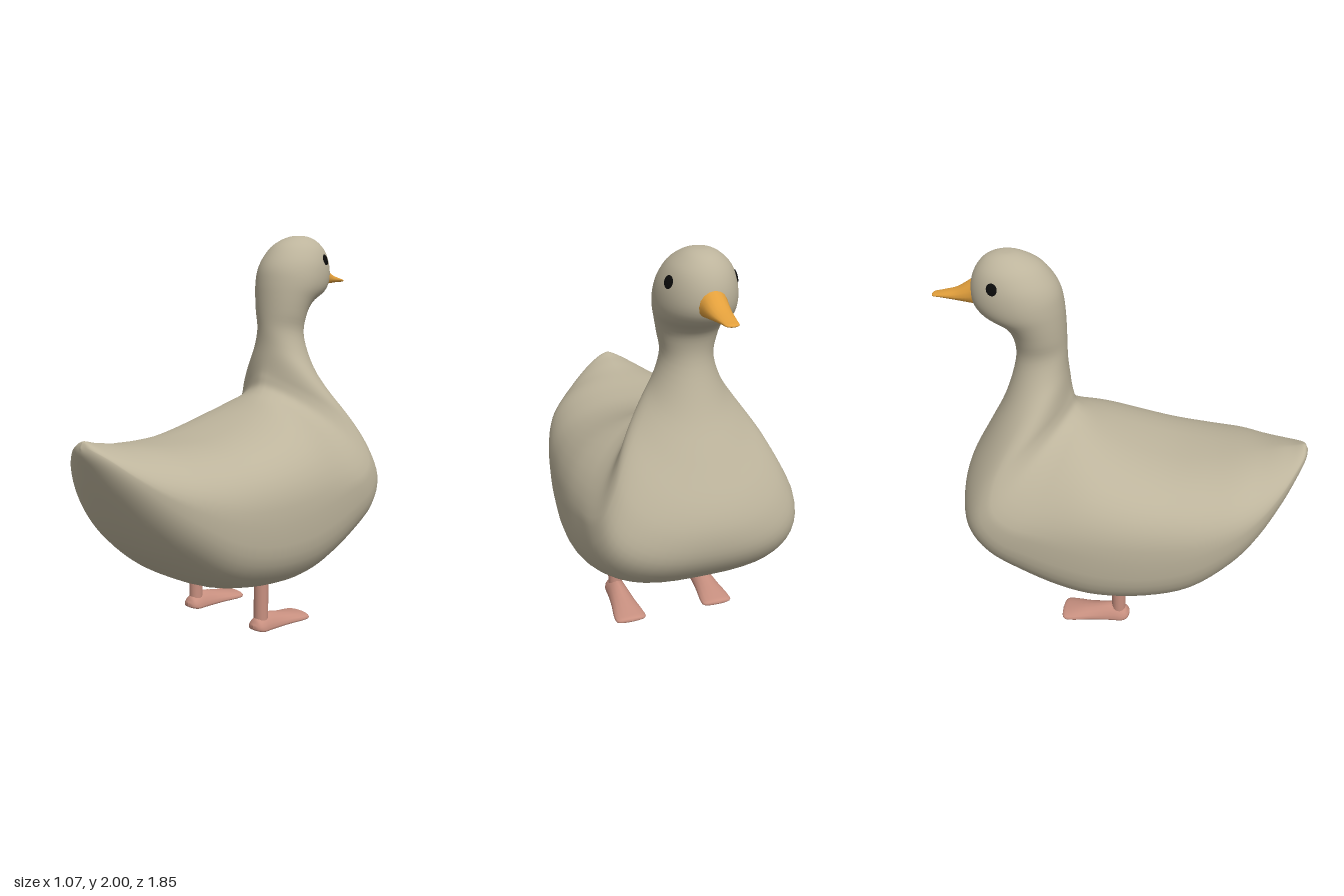
import * as THREE from 'three';

const material = (name, color) => {
  const m = new THREE.MeshStandardMaterial({ color });
  m.name = name;
  return m;
};

// Loft through sections lying in the side plane.
// Row: [topZ, topY, bottomZ, bottomY, halfWidth, widestAt, topPower, bottomPower]
function loft(rows, steps, sides) {
  const curve = (pick) => new THREE.CatmullRomCurve3(
    rows.map((r) => new THREE.Vector3(...pick(r))), false, 'catmullrom', 0.5);
  const tops = curve((r) => [0, r[1], r[0]]);
  const bottoms = curve((r) => [0, r[3], r[2]]);
  const widths = curve((r) => [r[4], r[5], 0]);
  const powers = curve((r) => [r[6], r[7], 0]);
  const pos = [], index = [];
  for (let i = 0; i <= steps; i++) {
    const t = i / steps;
    const top = tops.getPoint(t), bottom = bottoms.getPoint(t);
    const { x: w, y: widest } = widths.getPoint(t);
    const { x: nt, y: nb } = powers.getPoint(t);
    for (let j = 0; j < sides; j++) {
      const a = (j / sides) * Math.PI * 2;
      const s = Math.sin(a), c = Math.cos(a);
      const e = 2 / (c > 0 ? nt : nb);
      const x = Math.max(w, 0) * Math.sign(s) * Math.abs(s) ** e;
      const v = Math.abs(c) ** e;
      const f = c > 0 ? widest * (1 - v) : widest + (1 - widest) * v;
      const p = top.clone().lerp(bottom, f);
      pos.push(x, p.y, p.z);
      if (i < steps) {
        const k = (j + 1) % sides;
        const A = i * sides + j, B = i * sides + k;
        index.push(A, B, A + sides, B, B + sides, A + sides);
      }
    }
  }
  const g = new THREE.BufferGeometry();
  g.setAttribute('position', new THREE.Float32BufferAttribute(pos, 3));
  g.setIndex(index);
  g.computeVertexNormals();
  return g;
}

// Tail, trunk and breast, fanning up into the neck and head
const trunk = [
  [0.915, 1.05, 0.925, 1.03, 0, 0.5, 1.6, 2],
  [0.9, 1.058, 0.92, 0.99, 0.06, 0.5, 1.5, 2],
  [0.85, 1.045, 0.89, 0.92, 0.14, 0.5, 1.5, 2],
  [0.79, 1.035, 0.82, 0.78, 0.24, 0.5, 1.6, 2.1],
  [0.7, 1.02, 0.71, 0.6, 0.35, 0.48, 1.8, 2.3],
  [0.59, 1.01, 0.58, 0.45, 0.43, 0.47, 2.1, 2.5],
  [0.43, 1.0, 0.38, 0.305, 0.485, 0.48, 2.4, 2.8],
  [0.25, 1.005, 0.15, 0.25, 0.515, 0.5, 2.6, 3],
  [0.08, 1.04, -0.1, 0.235, 0.535, 0.5, 2.5, 3],
  [-0.08, 1.1, -0.3, 0.275, 0.535, 0.52, 2.2, 3],
];
const breastToHead = [
  [-0.18, 1.16, -0.52, 0.37, 0.52, 0.57, 1.8, 3],
  [-0.22, 1.19, -0.69, 0.475, 0.505, 0.63, 1.6, 2.9],
  [-0.245, 1.22, -0.8, 0.6, 0.47, 0.66, 1.5, 2.6],
  [-0.257, 1.26, -0.83, 0.73, 0.41, 0.62, 1.55, 2.2],
  [-0.267, 1.3, -0.8, 0.87, 0.34, 0.55, 1.7, 2],
  [-0.275, 1.37, -0.7, 1.06, 0.24, 0.5, 1.9, 2],
  [-0.28, 1.44, -0.6, 1.25, 0.165, 0.5, 2, 2],
  [-0.28, 1.52, -0.535, 1.45, 0.123, 0.5, 2, 2],
  [-0.28, 1.6, -0.537, 1.57, 0.138, 0.5, 2, 2],
  [-0.282, 1.68, -0.58, 1.645, 0.157, 0.5, 2, 2],
  [-0.287, 1.75, -0.68, 1.7, 0.177, 0.47, 2, 2],
  [-0.3, 1.82, -0.723, 1.76, 0.18, 0.46, 2, 2],
  [-0.33, 1.88, -0.725, 1.84, 0.168, 0.47, 2, 2],
  [-0.38, 1.94, -0.7, 1.915, 0.137, 0.5, 2, 2],
  [-0.44, 1.977, -0.655, 1.97, 0.09, 0.5, 2, 2],
  [-0.5, 1.997, -0.6, 1.995, 0.045, 0.5, 2, 2],
  [-0.55, 2.0, -0.55, 2.0, 0, 0.5, 2, 2],
];

const beakRows = [
  [-0.67, 1.86, -0.67, 1.745, 0, 0.6, 2, 2.5],
  [-0.69, 1.875, -0.69, 1.735, 0.062, 0.6, 2, 2.5],
  [-0.73, 1.85, -0.73, 1.74, 0.06, 0.6, 2, 2.5],
  [-0.8, 1.805, -0.8, 1.75, 0.049, 0.6, 2, 2.5],
  [-0.88, 1.78, -0.88, 1.757, 0.036, 0.5, 2, 2.5],
  [-0.915, 1.772, -0.915, 1.758, 0.028, 0.5, 2, 2],
  [-0.925, 1.765, -0.925, 1.763, 0, 0.5, 2, 2],
];

const footRows = [
  [0.06, 0.035, 0.06, 0.02, 0, 0.7, 2, 3],
  [0.053, 0.045, 0.05, 0.01, 0.035, 0.7, 2, 3],
  [0.03, 0.073, 0.02, 0.002, 0.052, 0.8, 1.8, 4],
  [-0.04, 0.087, -0.04, 0, 0.055, 0.8, 1.7, 4],
  [-0.15, 0.062, -0.15, 0, 0.066, 0.75, 1.8, 4],
  [-0.26, 0.038, -0.26, 0, 0.082, 0.7, 2, 4],
  [-0.3, 0.028, -0.3, 0.002, 0.068, 0.6, 2, 3],
  [-0.31, 0.015, -0.31, 0.012, 0, 0.5, 2, 2],
];

export function createModel() {
  const group = new THREE.Group();
  const feather = material('feather', 0xbdb49c);
  const orange = material('beak orange', 0xe3a03c);
  const pink = material('leg pink', 0xc89080);
  const black = material('eye black', 0x0c0c0c);
  const add = (name, geometry, mat) => {
    const mesh = new THREE.Mesh(geometry, mat);
    mesh.name = name;
    group.add(mesh);
    return mesh;
  };

  const body = add('body', loft([...trunk, ...breastToHead], 104, 48), feather);
  add('beak', loft(beakRows, 24, 16), orange);

  const footGeometry = loft(footRows, 28, 16);
  const legGeometry = new THREE.CylinderGeometry(0.037, 0.037, 0.27, 14);
  const eyeGeometry = new THREE.SphereGeometry(0.029, 18, 10).scale(1, 1, 0.2);
  const ray = new THREE.Raycaster();

  for (const [side, label] of [[1, 'left'], [-1, 'right']]) {
    add(`${label}Leg`, legGeometry, pink).position.set(side * 0.24, 0.185, 0);
    add(`${label}Foot`, footGeometry, pink).position.x = side * 0.24;

    // Eye disc laid on the side of the head
    ray.set(new THREE.Vector3(side, 1.872, -0.588), new THREE.Vector3(-side, 0, 0));
    const hit = ray.intersectObject(body)[0];
    const eye = add(`${label}Eye`, eyeGeometry, black);
    eye.position.copy(hit.point);
    eye.quaternion.setFromUnitVectors(new THREE.Vector3(0, 0, 1), hit.face.normal);
  }
  return group;
}
